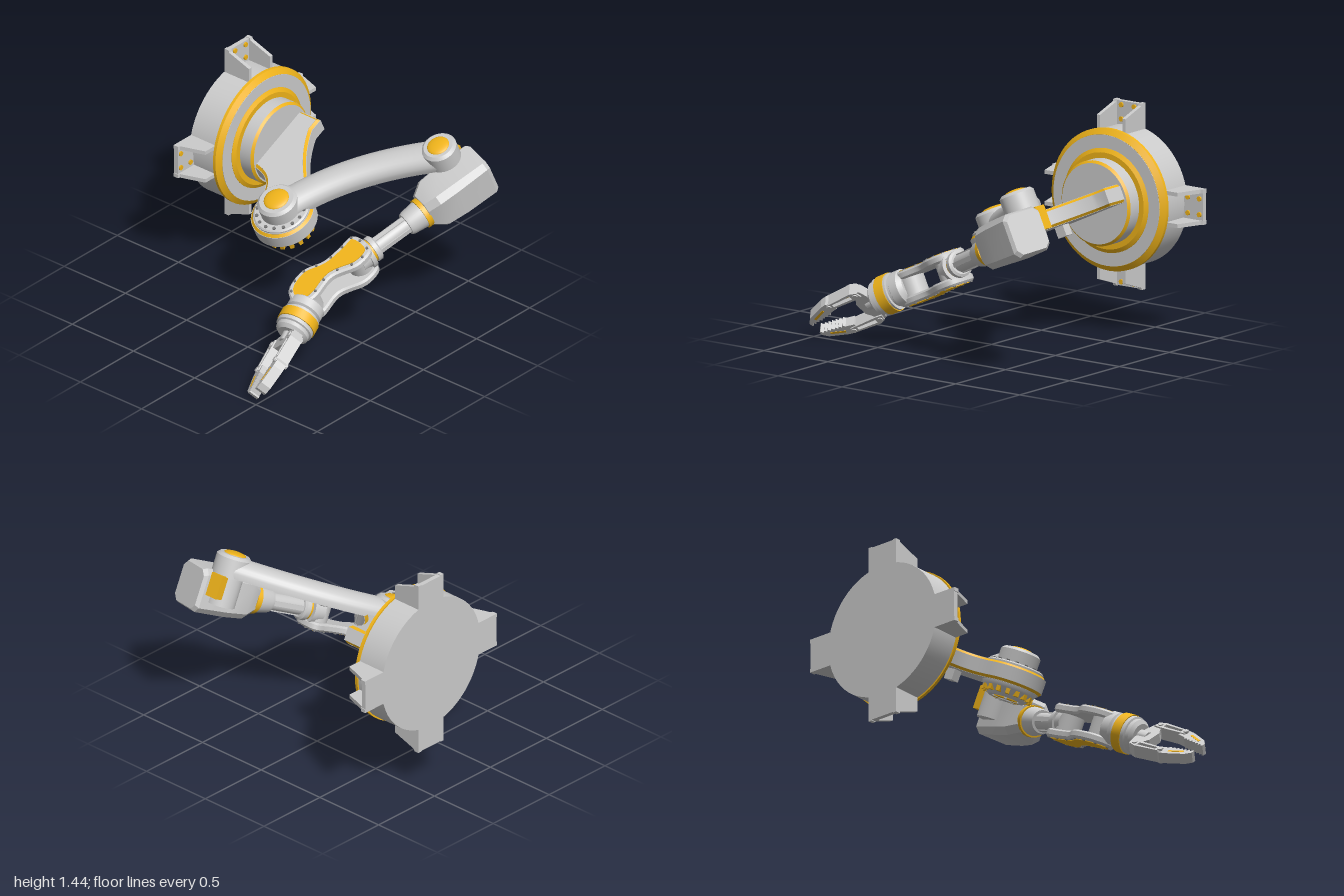
import * as THREE from 'three';
import { toCreasedNormals } from 'three/addons/utils/BufferGeometryUtils.js';

const grey = new THREE.MeshStandardMaterial({ color: 0xcccccc });
const yellow = new THREE.MeshStandardMaterial({ color: 0xf0b41a });
const dark = new THREE.MeshStandardMaterial({ color: 0x777777 });

function add(parent, name, geo, mat = grey, x = 0, y = 0, z = 0) {
  const m = new THREE.Mesh(geo, mat);
  m.name = name;
  m.position.set(x, y, z);
  parent.add(m);
  return m;
}
function group(parent, name, x = 0, y = 0, z = 0) {
  const g = new THREE.Group();
  g.name = name;
  g.position.set(x, y, z);
  parent.add(g);
  return g;
}
const box = (x, y, z) => new THREE.BoxGeometry(x, y, z);
const cyl = (r, h, seg = 32) => new THREE.CylinderGeometry(r, r, h, seg);

// Turned part from [distance along axis, radius] pairs
const lathe = (pts, seg = 48) =>
  toCreasedNormals(new THREE.LatheGeometry(pts.map(([a, r]) => new THREE.Vector2(r, a)), seg), 0.5);
const latheX = (pts) => lathe(pts, 36).rotateZ(-Math.PI / 2);
const latheZ = (pts) => lathe(pts, 64).rotateX(Math.PI / 2);

// Plate drawn in x/z, between two heights, with optional bevel and outline offset
function plate(shape, y0, y1, bevel = 0, offset = 0) {
  const g = new THREE.ExtrudeGeometry(shape, {
    depth: y1 - y0 - 2 * bevel, curveSegments: 20, bevelEnabled: true, bevelSegments: 1,
    bevelThickness: bevel, bevelSize: bevel, bevelOffset: offset - bevel,
  });
  return toCreasedNormals(g.rotateX(Math.PI / 2).translate(0, y1 - bevel, 0), 0.5);
}

// Skin over closed rings that run counter-clockwise about the path
function loft(rings) {
  const n = rings[0].length, pos = rings.flat(2), idx = [];
  rings.slice(1).forEach((_, i) => {
    for (let j = 0; j < n; j++) {
      const a = i * n + j, b = i * n + (j + 1) % n;
      idx.push(a, b, a + n, b, b + n, a + n);
    }
  });
  const last = (rings.length - 1) * n;
  for (let j = 1; j < n - 1; j++) idx.push(0, j + 1, j, last, last + j, last + j + 1);
  const g = new THREE.BufferGeometry();
  g.setAttribute('position', new THREE.Float32BufferAttribute(pos, 3));
  g.setIndex(idx);
  return toCreasedNormals(g, 0.5);
}

function buildBase(root) {
  const base = group(root, 'wallMount', 0.405, 0.87, 0);
  add(base, 'mountDrum', latheZ([[-0.88, 0], [-0.88, 0.44], [-0.68, 0.44], [-0.68, 0]]));
  add(base, 'mountRim', latheZ([[-0.68, 0.4], [-0.68, 0.45], [-0.66, 0.45], [-0.635, 0.415], [-0.635, 0.3]]), yellow);
  add(base, 'mountFace', latheZ([[-0.66, 0.414], [-0.632, 0.414], [-0.632, 0]]));
  add(base, 'innerRing', latheZ([[-0.64, 0.33], [-0.63, 0.33], [-0.615, 0.305], [-0.615, 0.2]]), yellow);
  add(base, 'turntable', latheZ([[-0.63, 0.27], [-0.53, 0.27]]));
  add(base, 'turntableEdge', latheZ([[-0.53, 0.27], [-0.515, 0.255]]), yellow);
  add(base, 'turntableFace', latheZ([[-0.515, 0.255], [-0.515, 0]]));

  // Four bracket feet: two tapered walls, a floor and bolts
  const wall = new THREE.Shape([[0.38, -0.88], [0.59, -0.88], [0.59, -0.845], [0.575, -0.84], [0.52, -0.68], [0.38, -0.68]]
    .map(([x, y]) => new THREE.Vector2(x, y)));
  for (let i = 0; i < 4; i++) {
    const foot = group(base, 'mountFoot');
    foot.rotation.z = i * Math.PI / 2;
    for (const s of [-1, 1]) {
      add(foot, 'footWall', plate(wall, -0.0125, 0.0125), grey, 0, s * 0.0995, 0);
      add(foot, 'footBolt', cyl(0.016, 0.02, 12).rotateX(Math.PI / 2), yellow, 0.56, s * 0.05, -0.85);
      add(foot, 'footBolt', cyl(0.016, 0.02, 12).rotateX(Math.PI / 2), yellow, 0.47, s * 0.05, -0.85);
    }
    add(foot, 'footFloor', box(0.2, 0.2, 0.03), grey, 0.485, 0, -0.865);
  }
}

function buildShoulder(arm) {
  // Curved link from turntable to shoulder joint, with yellow chamfers
  const s = new THREE.Shape();
  s.moveTo(-0.24, -0.53);
  s.quadraticCurveTo(-0.26, -0.33, -0.455, -0.33);
  s.absarc(-0.455, -0.13, 0.2, -Math.PI / 2, -Math.PI * 1.75, true);
  s.quadraticCurveTo(-0.1, -0.27, 0.15, -0.365);
  s.lineTo(0.235, -0.365);
  s.lineTo(0.235, -0.53);
  add(arm, 'shoulderLinkEdge', plate(s, -0.058, 0.058, 0.015), yellow);
  add(arm, 'shoulderLink', plate(s, -0.043, 0.043, 0, 0.003));
  add(arm, 'shoulderLinkFaces', plate(s, -0.06, 0.06, 0, -0.016));
  add(arm, 'linkStop', box(0.07, 0.08, 0.06), grey, -0.18, -0.09, -0.36);

  const hub = group(arm, 'shoulderHub', -0.455, 0, -0.13);
  add(hub, 'boltFlange', lathe([[0.05, 0.18], [0.07, 0.18], [0.078, 0.17], [0.078, 0]]));
  add(hub, 'lowerHub', lathe([[-0.135, 0], [-0.135, 0.115], [-0.085, 0.165], [-0.06, 0.175], [-0.05, 0.175]]));
  add(hub, 'lowerHubDisc', cyl(0.085, 0.01), yellow, 0, -0.136, 0);
  add(hub, 'lowerHubBoss', cyl(0.035, 0.02, 16), grey, 0, -0.138, 0);
  for (let i = 0; i < 16; i++) {
    const spoke = group(hub, 'hubDetail');
    spoke.rotation.y = i * Math.PI / 8;
    add(spoke, 'flangeBolt', cyl(0.011, 0.012, 10), dark, 0.155, 0.08, 0);
    add(spoke, 'hubTooth', box(0.04, 0.04, 0.026), yellow, 0.143, -0.1, 0);
    if (i % 3 === 0) add(spoke, 'hubSpoke', box(0.06, 0.012, 0.016), grey, 0.06, -0.138, 0);
  }
}

function buildUpperArm(arm) {
  // Flat-bottomed, round-topped bar along an arc
  const path = new THREE.QuadraticBezierCurve(
    new THREE.Vector2(-0.455, -0.13), new THREE.Vector2(0.0, 0.06), new THREE.Vector2(0.335, 0.57));
  const rings = [];
  for (let i = 0; i <= 24; i++) {
    const p = path.getPoint(i / 24), t = path.getTangent(i / 24), w = 0.108;
    const at = (q, n) => [p.x - t.y * q, n, p.y + t.x * q];
    const ring = [];
    for (let k = 0; k <= 14; k++) {
      const f = Math.PI * k / 14;
      ring.push(at(-w * Math.cos(f), 0.08 + 0.085 * Math.sin(f)));
    }
    ring.push(at(w * 0.95, 0.045), at(-w * 0.95, 0.045));
    rings.push(ring);
  }
  add(arm, 'upperArm', loft(rings));

  // Capped joints at both ends
  for (const [name, x, z, r] of [['shoulderCap', -0.455, -0.13, 0.128], ['elbowCap', 0.335, 0.57, 0.112]]) {
    const cap = group(arm, name, x, 0, z);
    add(cap, name + 'Barrel', lathe([[0.04, 0], [0.04, r], [0.16, r], [0.178, r - 0.018], [0.178, 0]]));
    const dome = new THREE.SphereGeometry(r * 0.64, 28, 8, 0, Math.PI * 2, 0, Math.PI / 2).scale(1, 0.25, 1);
    add(cap, name + 'Dome', dome, yellow, 0, 0.176, 0);
  }
  add(arm, 'elbowPin', cyl(0.095, 0.2), grey, 0.335, -0.05, 0.57);
  add(arm, 'elbowBlock', box(0.11, 0.15, 0.09), yellow, 0.41, -0.03, 0.555);
}

function buildForearm(arm) {
  const f = group(arm, 'forearm', -0.38, -0.1, 0.475);
  f.rotation.y = -0.305;
  // Chamfered motor housing
  const section = ([x, h, w, c]) => [[h, c - w], [h, w - c], [h - c, w], [c - h, w], [-h, w - c], [-h, c - w], [c - h, -w], [h - c, -w]]
    .map(([y, z]) => [x, y + 0.01, z]);
  add(f, 'elbowHousing', loft([[0.42, 0.1, 0.09, 0.04], [0.5, 0.135, 0.13, 0.04], [0.64, 0.143, 0.138, 0.04],
    [0.86, 0.143, 0.136, 0.035], [0.885, 0.13, 0.122, 0.035]].map(section)));
  add(f, 'housingRing', latheX([[0.39, 0.06], [0.39, 0.1], [0.425, 0.1], [0.425, 0.06]]), yellow);
  add(f, 'forearmCollar', latheX([[0.28, 0.05], [0.28, 0.073], [0.3, 0.08], [0.4, 0.092]]));
  add(f, 'forearmRod', latheX([[-0.04, 0.056], [0.3, 0.056]]));
  for (let i = 0; i < 4; i++) {
    const rail = group(f, 'rodRail');
    rail.rotation.x = i * Math.PI / 2;
    add(rail, 'rodRailBar', box(0.26, 0.012, 0.03), grey, 0.15, 0.056, 0);
  }
  add(f, 'rodFlange', latheX([[-0.1, 0], [-0.1, 0.085], [-0.04, 0.085], [-0.04, 0.1], [-0.01, 0.1], [-0.01, 0.05]]));
  add(f, 'rodRing', latheX([[-0.01, 0.05], [-0.01, 0.075], [0.01, 0.075], [0.01, 0.05]]), yellow);
  add(f, 'rodCollar', latheX([[0.01, 0.05], [0.01, 0.085], [0.04, 0.085], [0.05, 0.07], [0.05, 0.05]]));
}

function buildLowerLink(arm) {
  const link = group(arm, 'lowerLink', 0, -0.11, 0);
  // Two wavy side plates with yellow panels and rivets
  const outline = new THREE.CatmullRomCurve3([[-0.969, 0.347], [-0.898, 0.25], [-0.739, 0.238], [-0.621, 0.315],
    [-0.502, 0.342], [-0.385, 0.36], [-0.375, 0.45], [-0.42, 0.545], [-0.544, 0.548], [-0.698, 0.445], [-0.86, 0.445], [-0.946, 0.416]]
    .map(([x, z]) => new THREE.Vector3(x, 0, z)), true);
  const shape = new THREE.Shape(outline.getPoints(72).slice(0, -1).map((p) => new THREE.Vector2(p.x, p.z)));
  for (const s of [-1, 1]) {
    const span = (a, b) => (s > 0 ? [a, b] : [-b, -a]);
    add(link, 'sidePlate', plate(shape, ...span(0.055, 0.108), 0.012));
    add(link, 'sidePanel', plate(shape, ...span(0.1, 0.113), 0, -0.034), yellow);
    for (let i = 0; i < 16; i++) {
      const p = outline.getPointAt(i / 16), t = outline.getTangentAt(i / 16);
      add(link, 'rivet', cyl(0.009, 0.014, 10), dark, p.x - t.z * 0.021, s * 0.107, p.z + t.x * 0.021);
    }
  }
  add(link, 'elbowPost', cyl(0.078, 0.16), grey, -0.47, 0, 0.45);
  add(link, 'wristPost', cyl(0.085, 0.16), grey, -0.87, 0, 0.35);
}

function buildHand(arm) {
  const wrist = group(arm, 'wrist', -0.95, -0.1, 0.385);
  wrist.rotation.set(0, Math.PI + 0.17, -0.03);
  add(wrist, 'wristBarrel', latheX([[-0.07, 0], [-0.07, 0.085], [-0.045, 0.115], [0.01, 0.115], [0.02, 0.1],
    [0.035, 0.1], [0.035, 0.12], [0.055, 0.12]]));
  add(wrist, 'wristBand', latheX([[0.05, 0.1], [0.05, 0.126], [0.115, 0.126], [0.115, 0.1]]), yellow);
  add(wrist, 'wristNose', latheX([[0.115, 0.12], [0.14, 0.12], [0.145, 0.108], [0.17, 0.108], [0.19, 0.085], [0.19, 0.05], [0.25, 0.045], [0.25, 0]]));

  const hand = group(wrist, 'gripper');
  hand.rotation.x = -0.83;
  const slab = (pts, depth, hole) => {
    const v = (a) => a.map(([x, y]) => new THREE.Vector2(x, y));
    const s = new THREE.Shape(v(pts));
    if (hole) s.holes.push(new THREE.Path(v(hole)));
    return new THREE.ExtrudeGeometry(s, { depth, bevelEnabled: false }).translate(0, 0, -depth / 2);
  };
  add(hand, 'palm', slab([[0.19, -0.06], [0.21, -0.14], [0.25, -0.155], [0.28, -0.14], [0.275, -0.09], [0.3, -0.05],
    [0.3, 0.05], [0.275, 0.09], [0.28, 0.14], [0.25, 0.155], [0.21, 0.14], [0.19, 0.06]], 0.065));
  // Toothed jaw outline
  const jaw = [[0.42, 0.09], [0.425, 0.145], [0.46, 0.158], [0.5, 0.15], [0.62, 0.1], [0.65, 0.065], [0.65, 0.04]];
  for (let i = 0; i < 7; i++) {
    const x = 0.64 - i * 0.025;
    jaw.push([x, 0.035 + i * 0.004], [x - 0.012, 0.053 + i * 0.004]);
  }
  for (const s of [0, 1]) {
    const finger = group(hand, 'finger');
    finger.rotation.x = s * Math.PI;
    add(finger, 'fingerBar', slab([[0.22, 0.105], [0.23, 0.15], [0.27, 0.165], [0.46, 0.15], [0.46, 0.105], [0.27, 0.1]], 0.085,
      [[0.28, 0.118], [0.42, 0.118], [0.42, 0.14], [0.28, 0.147]]));
    add(finger, 'fingerInsert', box(0.15, 0.012, 0.04), yellow, 0.35, 0.13, 0);
    add(finger, 'fingerJaw', slab(jaw, 0.07));
    add(finger, 'jawInlay', box(0.1, 0.016, 0.074), yellow, 0.55, 0.097, 0).rotation.z = -0.4;
    for (const x of [0.25, 0.45]) add(finger, 'fingerPin', cyl(0.017, 0.1, 14).rotateX(Math.PI / 2), grey, x, 0.13, 0);
  }
}

export function createModel() {
  const root = new THREE.Group();
  root.name = 'roboticArm';
  buildBase(root);
  // The whole arm is rolled about the mount axis
  const arm = group(root, 'arm', 0.405, 0.87, 0);
  arm.rotation.z = THREE.MathUtils.degToRad(25);
  buildShoulder(arm);
  buildUpperArm(arm);
  buildForearm(arm);
  buildLowerLink(arm);
  buildHand(arm);
  return root;
}
